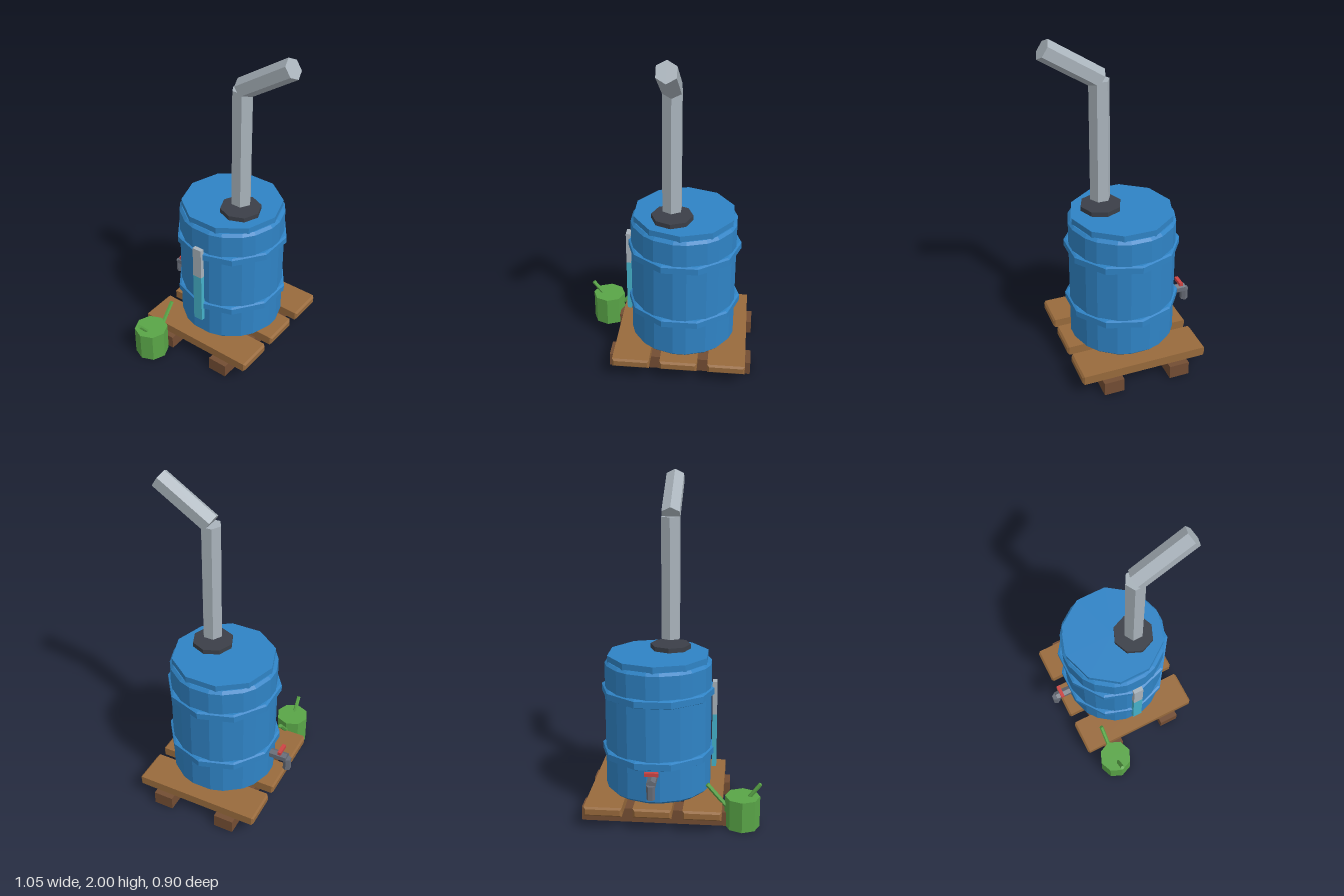
import * as THREE from 'three';

const mat = (name, color) => {
  const m = new THREE.MeshStandardMaterial({ color, flatShading: true });
  m.name = name;
  return m;
};

export function createModel() {
  const blue = mat('barrel blue', 0x2f83c5);
  const wood = mat('slat wood', 0x986a3c);
  const darkWood = mat('bearer wood', 0x734d33);
  const pipeGrey = mat('pipe grey', 0xa9b3bb);
  const charcoal = mat('collar charcoal', 0x3b3f48);
  const tapGrey = mat('tap grey', 0x686d78);
  const red = mat('handle red', 0xcc4444);
  const green = mat('can green', 0x59a547);
  const water = mat('water teal', 0x45b2ca);

  const model = new THREE.Group();
  model.name = 'rainBarrel';
  const CX = 0.096; // centre of pallet and barrel

  const add = (name, geo, material, x = 0, y = 0, z = 0, parent = model) => {
    const m = new THREE.Mesh(geo, material);
    m.name = name;
    m.position.set(x, y, z);
    parent.add(m);
    return m;
  };
  const group = (name) => {
    const g = new THREE.Group();
    g.name = name;
    model.add(g);
    return g;
  };
  // straight rod between two points
  const rod = (name, a, b, r, sides, material, parent) => {
    const p = new THREE.Vector3(...a), q = new THREE.Vector3(...b);
    const d = q.clone().sub(p);
    const m = add(name, new THREE.CylinderGeometry(r, r, d.length(), sides), material, 0, 0, 0, parent);
    m.position.copy(p).add(q).multiplyScalar(0.5);
    m.quaternion.setFromUnitVectors(new THREE.Vector3(0, 1, 0), d.normalize());
    return m;
  };
  // extrusion with one chamfer on every rim, centred on its depth
  const chamfered = (points, depth, b) => {
    const g = new THREE.ExtrudeGeometry(new THREE.Shape(points), {
      depth: depth - 2 * b, bevelEnabled: true, bevelSegments: 1, bevelSize: b, bevelThickness: b,
    });
    return g.translate(0, 0, -(depth - 2 * b) / 2);
  };

  // pallet: two bearers and three chamfered slats
  const pallet = group('pallet');
  for (const z of [-0.206, 0.206])
    add('bearer', new THREE.BoxGeometry(0.858, 0.084, 0.122), darkWood, CX, 0.042, z, pallet);
  const b = 0.011, hw = 0.111 - b, hh = 0.0275 - b;
  const rect = [[-hw, -hh], [hw, -hh], [hw, hh], [-hw, hh]].map((p) => new THREE.Vector2(...p));
  for (const i of [-1, 0, 1])
    add('slat', chamfered(rect, 0.774, b), wood, CX + i * 0.285, 0.1125, 0, pallet);

  // barrel body: decagon with chamfered corners and rims
  const barrel = group('barrel');
  const rim = 0.016, R = (0.312 - rim) / Math.cos(Math.PI / 10);
  const corner = (i) => new THREE.Vector2(R * Math.sin(i * Math.PI / 5), R * Math.cos(i * Math.PI / 5));
  const outline = [];
  for (let i = 10; i > 0; i--)
    outline.push(corner(i).lerp(corner(i + 1), 0.2), corner(i).lerp(corner(i - 1), 0.2));
  add('body', chamfered(outline, 0.788, rim).rotateX(-Math.PI / 2), blue, CX, 0.534, 0, barrel);
  add('lid', new THREE.CylinderGeometry(0.305, 0.305, 0.04, 10), blue, CX, 0.943, 0, barrel);

  // hoops, turned half a side against the body
  const hoop = [[0.29, -0.026], [0.328, -0.026], [0.342, -0.019], [0.342, 0.019], [0.328, 0.026], [0.29, 0.026]]
    .map((p) => new THREE.Vector2(...p));
  for (const y of [0.375, 0.747])
    add('hoop', new THREE.LatheGeometry(hoop, 10, Math.PI / 2), blue, CX, y, 0, barrel);

  // inlet collar and bent downpipe
  add('inletCollar', new THREE.CylinderGeometry(0.122, 0.122, 0.03, 8), charcoal, 0.034, 0.976, 0.106);
  const downpipe = group('downpipe');
  add('lowerPipe', new THREE.CylinderGeometry(0.061, 0.061, 0.719, 6), pipeGrey, 0.033, 1.386, 0.108, downpipe);
  rod('upperPipe', [0.033, 1.749, 0.106], [0.033, 1.947, 0.415], 0.061, 6, pipeGrey, downpipe);

  // level gauge
  const gauge = group('levelGauge');
  add('gaugeTube', new THREE.BoxGeometry(0.026, 0.2, 0.06), pipeGrey, -0.239, 0.7, 0, gauge);
  add('gaugeWater', new THREE.BoxGeometry(0.026, 0.33, 0.06), water, -0.239, 0.435, 0, gauge);

  // tap at the back
  const tap = group('tap');
  rod('tapPipe', [CX, 0.311, -0.29], [CX, 0.311, -0.425], 0.029, 6, tapGrey, tap);
  const spout = add('tapSpout', new THREE.CylinderGeometry(0.025, 0.025, 0.082, 6), tapGrey, CX, 0.269, -0.426, tap);
  spout.rotation.y = Math.PI / 6;
  add('tapHandle', new THREE.BoxGeometry(0.08, 0.021, 0.022), red, CX, 0.361, -0.387, tap);

  // watering can
  const can = group('wateringCan');
  add('canBody', new THREE.CylinderGeometry(0.102, 0.102, 0.185, 8), green, -0.416, 0.0925, -0.245, can);
  rod('canSpout', [-0.36, 0.075, -0.245], [-0.211, 0.249, -0.245], 0.013, 6, green, can);
  rod('canHandle', [-0.45, 0.172, -0.245], [-0.518, 0.263, -0.245], 0.012, 6, green, can);

  return model;
}
